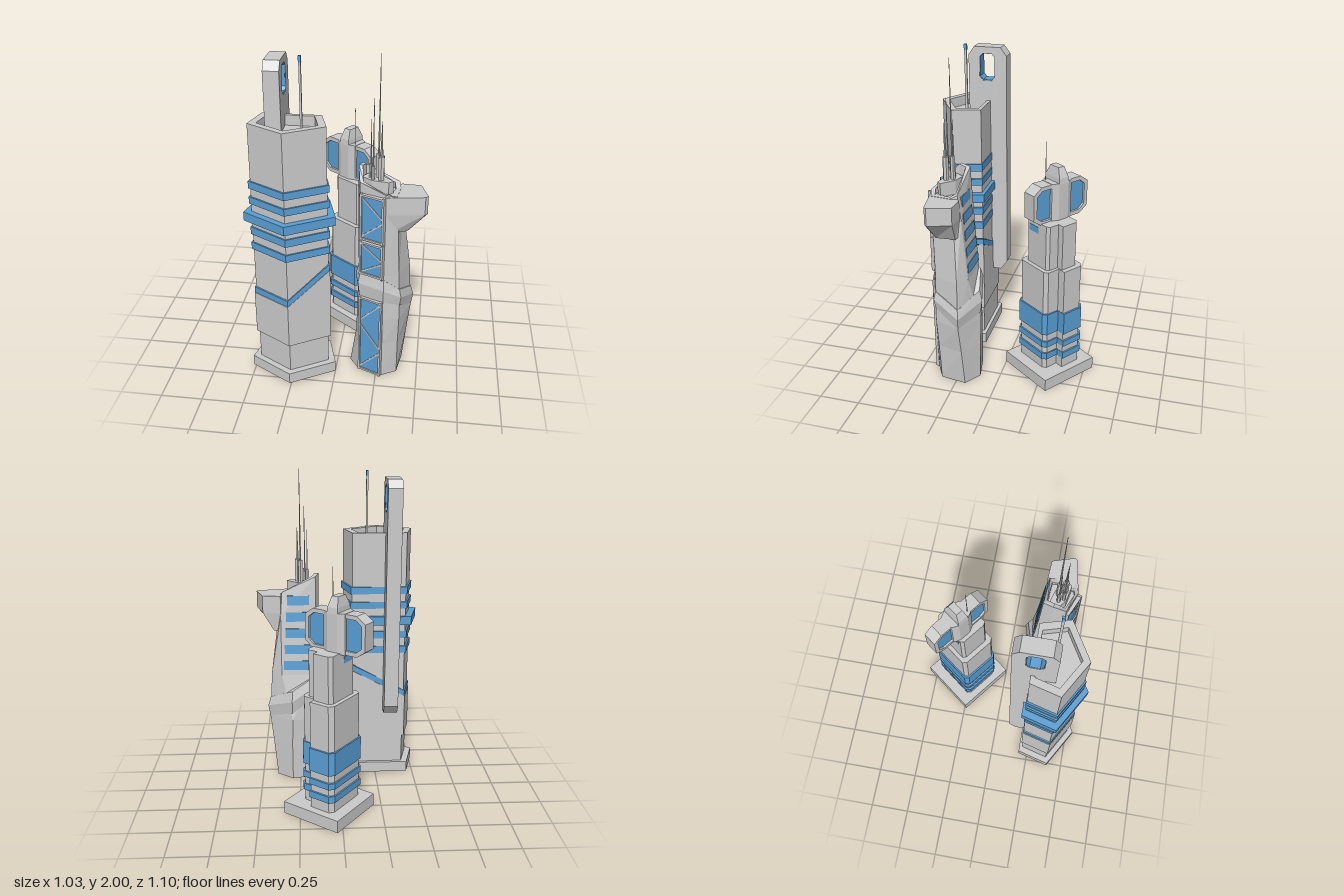
import * as THREE from 'three';

const GREY = new THREE.MeshStandardMaterial({ color: 0xcccccc, flatShading: true });
const BLUE = new THREE.MeshStandardMaterial({ color: 0x5aa0d6, flatShading: true });

function add(parent, name, geo, mat = GREY, x = 0, y = 0, z = 0) {
  const m = new THREE.Mesh(geo, mat);
  m.name = name;
  m.position.set(x, y, z);
  parent.add(m);
  return m;
}
const box = (w, h, d) => new THREE.BoxGeometry(w, h, d);

// Skin a stack of [x, y, z] loops (left, front, right, back) and cap both ends.
function loft(loops) {
  const pos = [], n = loops[0].length;
  const tri = (...p) => p.forEach(q => pos.push(...q));
  const mid = l => [0, 1, 2].map(k => l.reduce((s, p) => s + p[k], 0) / n);
  const low = loops[0], top = loops[loops.length - 1], cl = mid(low), ct = mid(top);
  for (let i = 0; i < n; i++) {
    const j = (i + 1) % n;
    for (let k = 0; k + 1 < loops.length; k++) {
      const a = loops[k], b = loops[k + 1];
      tri(a[i], a[j], b[j]);
      tri(a[i], b[j], b[i]);
    }
    tri(low[j], low[i], cl);
    tri(top[i], top[j], ct);
  }
  const g = new THREE.BufferGeometry();
  g.setAttribute('position', new THREE.Float32BufferAttribute(pos, 3));
  g.computeVertexNormals();
  return g;
}
// Loop from a flat outline, scaled about (cx, cz); y is a number or one value per corner.
const ring = (pts, y, s = 1, cx = 0, cz = 0) => pts.map(([x, z], i) =>
  [cx + (x - cx) * s, Array.isArray(y) ? y[i] : y, cz + (z - cz) * s]);

function shape(pts) {
  return new THREE.Shape(pts.map(p => new THREE.Vector2(...p)));
}
function extrude(pts, depth, holes = []) {
  const s = shape(pts);
  s.holes = holes.map(shape);
  return new THREE.ExtrudeGeometry(s, { depth, bevelEnabled: false }).translate(0, 0, -depth / 2);
}

function pentagonTower() {
  const g = new THREE.Group();
  g.name = 'pentagonTower';
  const P = [[-0.52, 0.4], [-0.26, 0.55], [0.006, 0.395], [-0.055, 0.188], [-0.465, 0.188]];
  const r = (y, s) => ring(P, y, s, -0.26, 0.313);
  const slant = d => [0.56, 0.56, 0.75, 0.75, 0.56].map(v => v + d);
  add(g, 'baseSlab', loft([r(0, 0.98), r(0.07, 0.98)]));
  add(g, 'lowerShaft', loft([r(0.07, 0.81), r(0.27, 0.81)]));
  add(g, 'middleShaft', loft([r(0.26, 0.87), r(slant(-0.02), 0.87)]));
  add(g, 'slantedBand', loft([r(slant(-0.02), 0.86), r(slant(0.02), 0.86)]), BLUE);
  // upper shaft with a sunken roof
  add(g, 'upperShaft', loft([r(slant(0.02), 0.83), r(1.62, 0.82), r(1.62, 0.64), r(1.56, 0.64)]));
  for (const [a, b, s] of [[0.845, 0.89, 0.87], [0.943, 0.99, 0.87], [1.035, 1.09, 1], [1.14, 1.183, 0.87], [1.235, 1.28, 0.87]])
    add(g, 'windowRing', loft([r(a, s), r(b, s)]), BLUE);
  // tall back fin with a chamfered opening, profile drawn in (-z, y)
  const hole = (k) => [[-0.255, 1.745 + k], [-0.2, 1.745 + k], [-0.18 - k, 1.77], [-0.18 - k, 1.89], [-0.2, 1.912 - k], [-0.255, 1.912 - k], [-0.277 + k, 1.89], [-0.277 + k, 1.77]];
  const fin = add(g, 'backFin', extrude([[-0.345, 1.5], [-0.24, 1.4], [-0.24, 0.45], [-0.15, 0.45], [-0.107, 0.51],
    [-0.107, 1.9], [-0.145, 1.95], [-0.31, 1.95], [-0.345, 1.9]], 0.09, [hole(0)]), GREY, -0.34);
  fin.rotation.y = Math.PI / 2;
  const lining = add(g, 'finOpeningLining', extrude(hole(-0.002), 0.084, [hole(0.004)]), BLUE, -0.34);
  lining.rotation.y = Math.PI / 2;
  add(g, 'mast', box(0.012, 0.4, 0.014), GREY, -0.187, 1.755, 0.327);
  add(g, 'mastTip', box(0.015, 0.035, 0.017), BLUE, -0.187, 1.968, 0.327);
  return g;
}

function notchedTower() {
  const g = new THREE.Group();
  g.name = 'notchedTower';
  g.position.set(0.0725, 0, -0.275);
  g.rotation.y = -0.651;
  const N = [[-0.135, 0.14], [-0.11, 0.16], [0.11, 0.16], [0.135, 0.14], [0.135, -0.08], [0.115, -0.105],
    [0.03, -0.105], [0.03, -0.16], [-0.11, -0.16], [-0.135, -0.13]];
  const prism = (a, b, s) => loft([ring(N, a, s), ring(N, b, s)]);
  add(g, 'baseSlab', box(0.396, 0.078, 0.39), GREY, 0, 0.039, 0);
  add(g, 'lowerShaft', prism(0.07, 0.755, 0.93));
  add(g, 'upperShaft', prism(0.755, 1.04, 0.74));
  for (const [a, b] of [[0.147, 0.19], [0.235, 0.275], [0.325, 0.47]])
    add(g, 'windowBand', prism(a, b, 1), BLUE);
  add(g, 'shaftWindow', box(0.204, 0.04, 0.08), BLUE, 0, 0.99, 0.05);

  // bracket-shaped head with glazed wings
  const head = new THREE.Group();
  head.name = 'head';
  head.position.set(-0.05, 0, 0.03);
  g.add(head);
  const wing = s => [[0.07, 1.055], [0.145, 1.055], [0.182, 1.085], [0.182, 1.215], [0.145, 1.245], [0.07, 1.245]].map(([x, y]) => [x * s, y]);
  add(head, 'headFrame', extrude([[-0.207, 1.07], [-0.15, 1.03], [0.15, 1.03], [0.207, 1.07], [0.207, 1.23],
    [0.15, 1.27], [-0.15, 1.27], [-0.207, 1.23]], 0.086, [wing(1), wing(-1)]));
  for (const s of [-1, 1]) add(head, 'headGlass', extrude(wing(s), 0.06), BLUE);
  const core = [[-0.075, 0.045], [-0.035, 0.065], [0.035, 0.065], [0.075, 0.045],
    [0.075, -0.045], [0.035, -0.065], [-0.035, -0.065], [-0.075, -0.045]];
  add(head, 'headCore', loft([ring(core, 1.03), ring(core, 1.272)]));
  const rect = (w, d, y) => ring([[-w, d], [w, d], [w, -d], [-w, -d]], y);
  add(head, 'headCap', loft([rect(0.036, 0.066, 1.265), rect(0.034, 0.062, 1.3), rect(0.022, 0.036, 1.36)]));
  add(g, 'spire', new THREE.CylinderGeometry(0.0015, 0.003, 0.26, 6), GREY, 0.011, 1.38, 0.06);
  return g;
}

function facetedTower() {
  const g = new THREE.Group();
  g.name = 'facetedTower';
  const base = [[0.08, 0.27], [0.135, 0.345], [0.285, 0.4], [0.375, 0.35], [0.4, 0.19], [0.3, 0.12], [0.15, 0.15]];
  const foot = [[0.115, 0.27], [0.14, 0.347], [0.285, 0.405], [0.376, 0.36], [0.423, 0.2], [0.3, 0.115], [0.158, 0.145]];
  const belly = [[0.12, 0.27], [0.14, 0.35], [0.285, 0.41], [0.38, 0.37], [0.443, 0.21], [0.295, 0.112], [0.16, 0.145]];
  const waist = [[0.125, 0.26], [0.145, 0.345], [0.283, 0.403], [0.37, 0.365], [0.425, 0.215], [0.36, 0.165], [0.15, 0.165]];
  const chest = [[0.12, 0.26], [0.14, 0.345], [0.285, 0.4], [0.355, 0.375], [0.375, 0.24], [0.36, 0.197], [0.14, 0.193]];
  const crown = [[0.12, 0.265], [0.135, 0.345], [0.285, 0.4], [0.345, 0.38], [0.36, 0.26], [0.35, 0.22], [0.14, 0.207]];
  const crownY = [1.36, 1.29, 1.245, 1.23, 1.23, 1.25, 1.35];
  const inner = y => ring(crown, y, 0.78, 0.23, 0.3);
  add(g, 'body', loft([ring(base, 0), ring(foot, 0.24), ring(belly, 0.42), ring(waist, 0.72), ring(chest, 1.1),
    ring(crown, crownY), inner(crownY), inner(1.215)]));

  // slanted collar around the waist
  const lowY = [0.58, 0.55, 0.55, 0.51, 0.42, 0.47, 0.57], highY = [0.71, 0.71, 0.7, 0.62, 0.55, 0.62, 0.7];
  const mid = lowY.map((v, i) => v * 0.45 + highY[i] * 0.55);
  const collar = (y, s) => ring(belly, y, s, 0.27, 0.27);
  add(g, 'collar', loft([collar(lowY, 1.0), collar(mid, 1.07), collar(highY, 0.97)]));

  // side head jutting out under a flat top
  const jut = [[0.285, 0.4], [0.5, 0.365], [0.515, 0.348], [0.472, 0.213], [0.36, 0.205]];
  const under = [[0.31, 0.38], [0.4, 0.345], [0.41, 0.335], [0.405, 0.22], [0.35, 0.205]];
  add(g, 'sideHead', loft([ring(under, 1.0), ring(jut, 1.12), ring(jut, 1.228)]));

  // glazed front bays with rails and diagonal struts
  const bay = new THREE.Group();
  bay.name = 'frontGlazing';
  bay.position.set(0.213, 0, 0.377);
  bay.rotation.y = -0.415;
  g.add(bay);
  for (const [a, b, n] of [[0.015, 0.54, 3], [0.715, 0.92, 2], [0.945, 1.22, 2]]) {
    const h = b - a, step = h / n;
    add(bay, 'bayGlass', box(0.13, h, 0.02), BLUE, 0, (a + b) / 2, 0);
    for (const s of [-1, 1]) add(bay, 'bayRail', box(0.012, h + 0.02, 0.036), GREY, s * 0.07, (a + b) / 2, 0);
    for (const y of [a, b]) add(bay, 'baySill', box(0.14, 0.012, 0.036), GREY, 0, y, 0);
    for (let i = 0; i < n; i++) {
      const strut = add(bay, 'bayStrut', box(Math.hypot(0.13, step * 0.8), 0.008, 0.028), GREY, 0, a + step * (i + 0.5), 0);
      strut.rotation.z = (i % 2 ? -1 : 1) * Math.atan2(step * 0.8, 0.13);
    }
  }

  // back windows
  for (let i = 0; i < 5; i++) {
    const y = 0.78 + i * 0.105;
    const w = add(g, 'backWindow', box(0.19 - i * 0.013, 0.06, 0.014), BLUE, 0.25, y, 0.168 + (y - 0.72) * 0.079);
    w.rotation.set(0.075, -0.02, 0);
  }

  // roof deck and masts
  const deck = [[0.14, 0.29], [0.2, 0.335], [0.295, 0.355], [0.32, 0.33], [0.25, 0.262], [0.175, 0.24]];
  add(g, 'roofDeck', loft([ring(deck, 1.2), ring(deck, 1.3)]));
  for (const [x, z, r, h, r2, tip] of [[0.232, 0.283, 0.015, 1.44, 0.006, 2], [0.205, 0.318, 0.011, 1.38, 0.005, 1.77],
    [0.25, 0.318, 0.018, 1.44, 0.009, 1.64], [0.19, 0.29, 0.012, 1.38, 0.005, 1.64]]) {
    add(g, 'mastBase', new THREE.CylinderGeometry(r, r, h - 1.25, 6), GREY, x, (h + 1.25) / 2, z);
    add(g, 'mast', new THREE.CylinderGeometry(0.0015, r2, tip - h, 6), GREY, x, (tip + h) / 2, z);
  }
  return g;
}

export function createModel() {
  const model = new THREE.Group();
  model.name = 'towerCluster';
  model.add(pentagonTower(), notchedTower(), facetedTower());
  return model;
}
